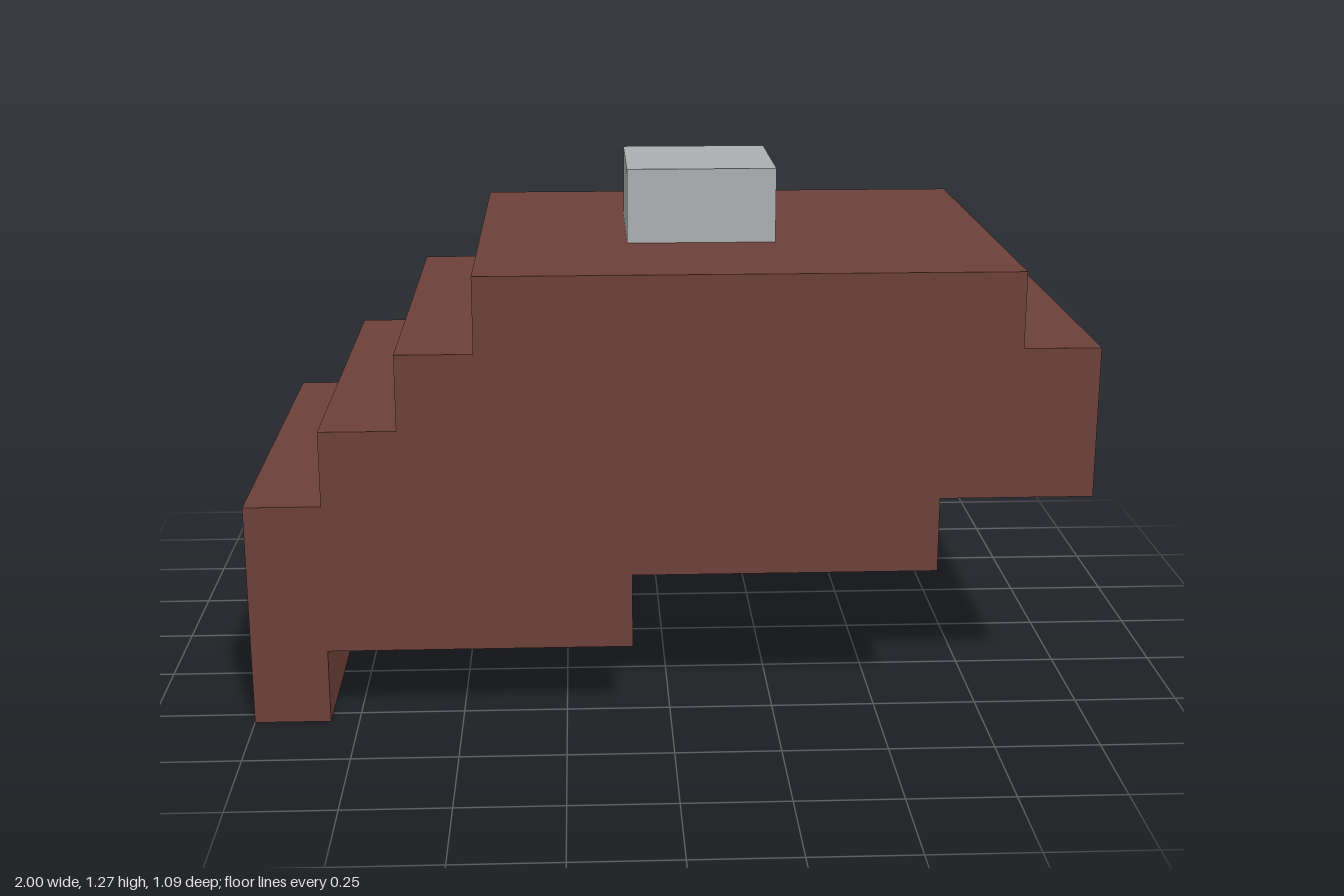
import * as THREE from 'three';

const U = 2 / 11; // one block unit

export function createModel() {
  const brown = new THREE.MeshStandardMaterial({ color: 0x6d4039 });
  brown.name = 'brown';
  const grey = new THREE.MeshStandardMaterial({ color: 0xacb0b0 });
  grey.name = 'grey';

  const model = new THREE.Group();
  model.name = 'steppedBlock';

  // Stepped body: side profile in block units, extruded along z
  const profile = [
    [0, 0], [1, 0], [1, 1], [5, 1], [5, 2], [9, 2], [9, 3], [11, 3], [11, 5],
    [10, 5], [10, 6], [3, 6], [3, 5], [2, 5], [2, 4], [1, 4], [1, 3], [0, 3],
  ];
  const shape = new THREE.Shape(profile.map(([x, y]) => new THREE.Vector2((x - 5.5) * U, y * U)));
  const bodyGeometry = new THREE.ExtrudeGeometry(shape, { depth: 6 * U, bevelEnabled: false });
  bodyGeometry.translate(0, 0, -3 * U);
  const body = new THREE.Mesh(bodyGeometry, brown);
  body.name = 'steppedBody';
  model.add(body);

  // Square knob on top
  const knob = new THREE.Mesh(new THREE.BoxGeometry(2 * U, U, 2 * U), grey);
  knob.name = 'topKnob';
  knob.position.set(0.5 * U, 6.5 * U, 0);
  model.add(knob);

  return model;
}
